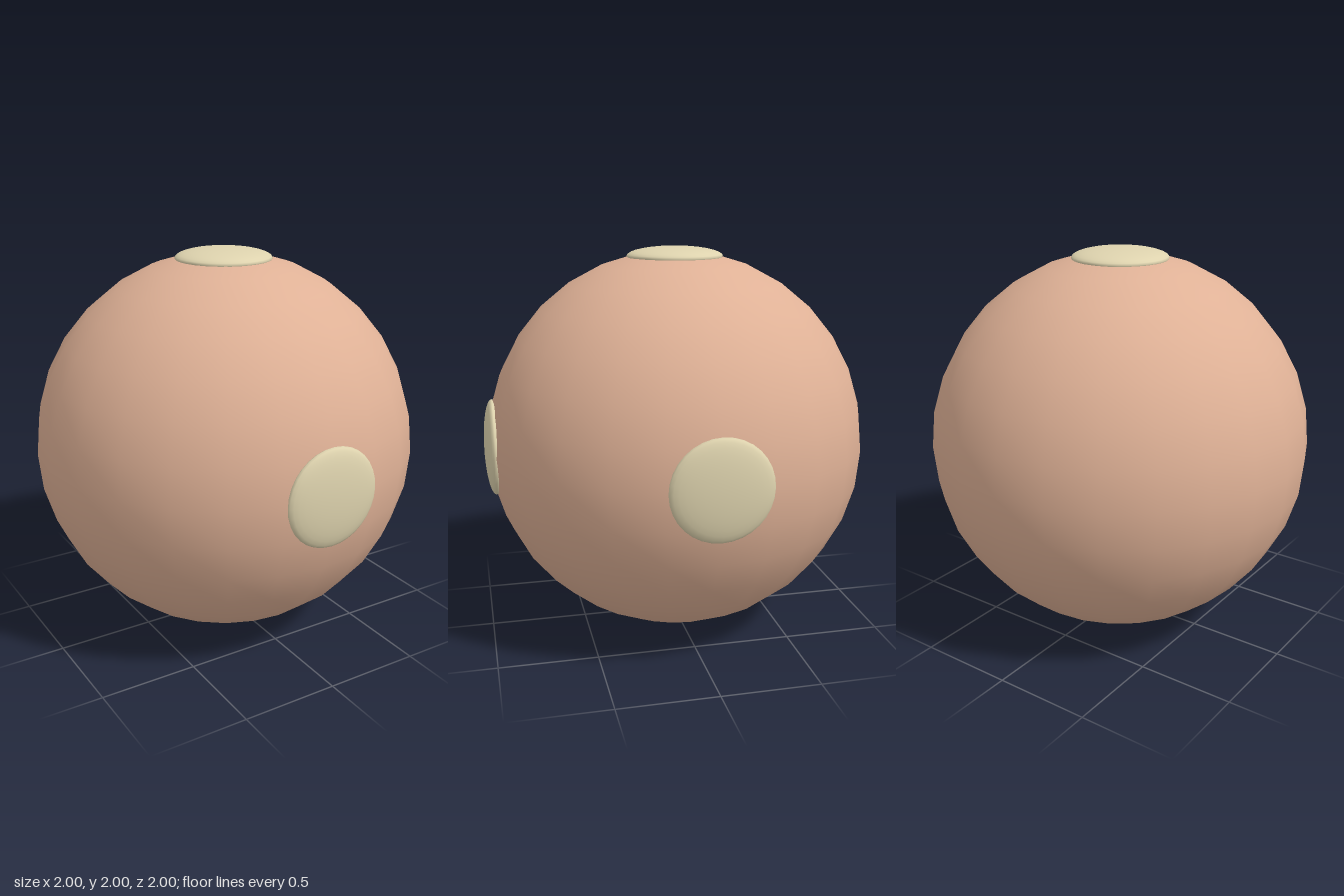
import * as THREE from 'three';

const RADIUS = 0.99;

export function createModel() {
  const model = new THREE.Group();
  model.name = 'spottedBall';
  const clay = new THREE.MeshStandardMaterial({ name: 'clay', color: 0xdfb196 });
  const cream = new THREE.MeshStandardMaterial({ name: 'cream', color: 0xded3ae });

  // Ball resting on the ground, nudged so the whole model is centred
  const centre = new THREE.Group();
  centre.name = 'ballWithPads';
  centre.position.set(RADIUS - 1, RADIUS, RADIUS - 1);
  model.add(centre);

  const ball = new THREE.Mesh(new THREE.SphereGeometry(RADIUS, 24, 16), clay);
  ball.name = 'ball';
  centre.add(ball);

  // Three identical domed pads, half sunk into the ball along +x, +y and +z
  const padGeometry = new THREE.SphereGeometry(0.248, 32, 16);
  padGeometry.scale(1, 0.2, 1);
  const up = new THREE.Vector3(0, 1, 0);
  const pads = {
    leftPad: new THREE.Vector3(1, 0, 0),
    topPad: new THREE.Vector3(0, 1, 0),
    frontPad: new THREE.Vector3(0, 0, 1),
  };
  for (const [name, direction] of Object.entries(pads)) {
    const pad = new THREE.Mesh(padGeometry, cream);
    pad.name = name;
    pad.quaternion.setFromUnitVectors(up, direction);
    pad.position.copy(direction).multiplyScalar(0.96);
    centre.add(pad);
  }
  return model;
}
